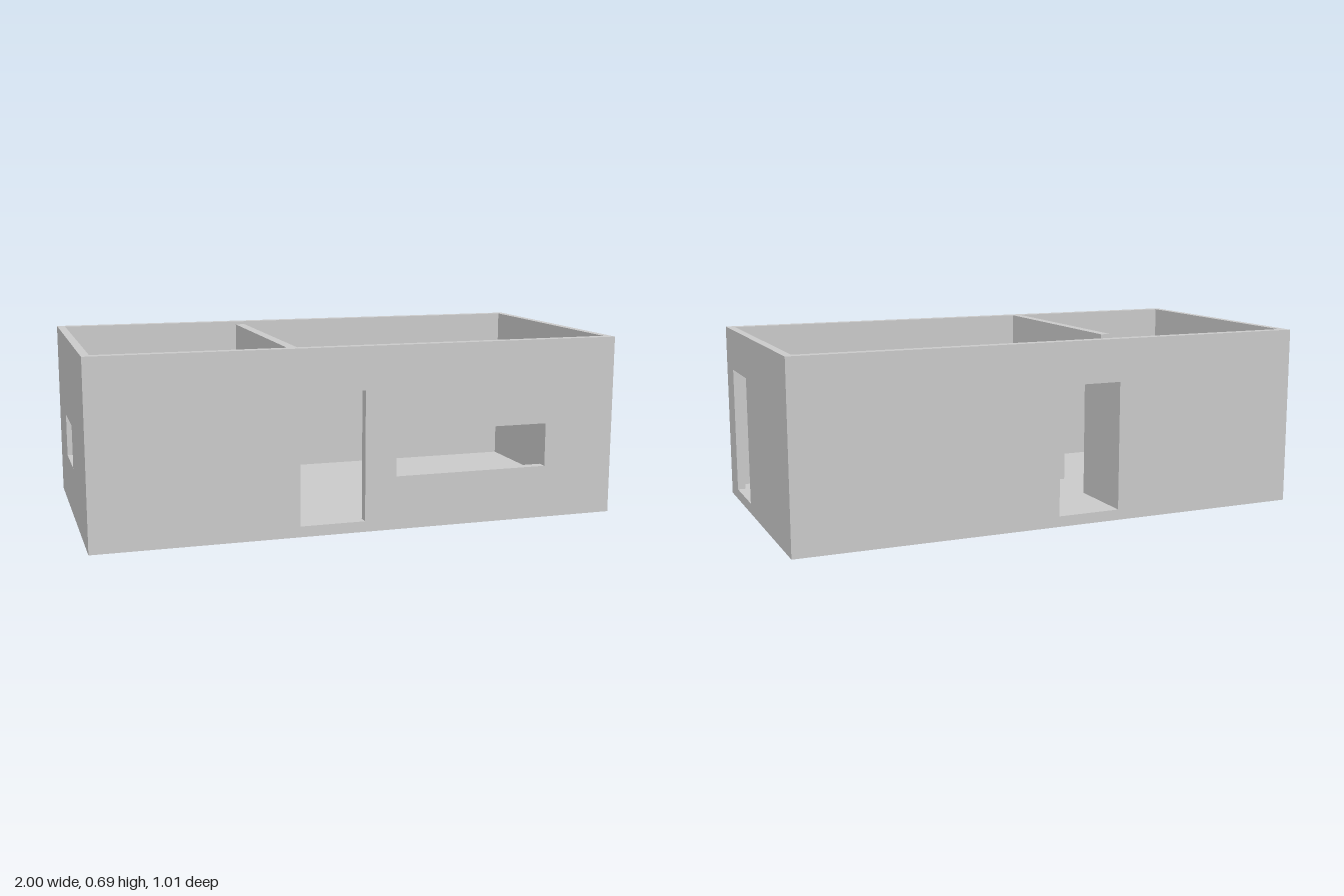
import * as THREE from 'three';

const H = 0.685, X = 1, Z = 0.503;      // outer height, half width, half depth
const TX = 0.03, TZ = 0.038;            // side wall and front/back wall thickness
const FLOOR = 0.04, DOOR_TOP = 0.525;   // floor level and door head
const SILL = 0.2, WINDOW_TOP = 0.365;
const IZ = Z - TZ;                      // inner half depth

const material = new THREE.MeshStandardMaterial({ color: 0xcccccc, flatShading: true });

const door = (a, b) => [a, FLOOR, b, DOOR_TOP];
const window_ = (a, b) => [a, SILL, b, WINDOW_TOP];

// Upright slab from an outline, with rectangular openings [u0, y0, u1, y1]
function slab(outline, openings, thickness) {
  const shape = new THREE.Shape(outline.map(([u, y]) => new THREE.Vector2(u, y)));
  for (const [u0, y0, u1, y1] of openings) {
    const hole = [[u0, y0], [u0, y1], [u1, y1], [u1, y0]];
    shape.holes.push(new THREE.Path(hole.map(([u, y]) => new THREE.Vector2(u, y))));
  }
  return new THREE.ExtrudeGeometry(shape, { depth: thickness, bevelEnabled: false });
}

const rect = (half, y0 = 0) => [[-half, y0], [half, y0], [half, H], [-half, H]];

export function createModel() {
  const group = new THREE.Group();
  const add = (name, geometry) => {
    const mesh = new THREE.Mesh(geometry, material);
    mesh.name = name;
    group.add(mesh);
  };
  // Wall along x, starting at depth z
  const wallX = (name, openings, z) =>
    add(name, slab(rect(X), openings, TZ).translate(0, 0, z));
  // Wall along z, whose +x face lies at x
  const wallZ = (name, outline, openings, thickness, x) =>
    add(name, slab(outline, openings, thickness).rotateY(-Math.PI / 2).translate(x, 0, 0));

  // Floor slab between the walls
  add('floor', new THREE.BoxGeometry(2 * (X - TX), FLOOR, 2 * IZ).translate(0, FLOOR / 2, 0));

  // Outer walls
  wallX('frontWall', [door(-0.245, 0), window_(0.12, 0.72)], IZ);
  wallX('backWall', [door(-0.245, 0)], -Z);
  wallZ('leftWall', rect(IZ), [door(0.14, 0.385)], TX, X);
  wallZ('rightWall', rect(IZ), [window_(-0.222, 0.023)], TX, -X + TX);

  // Partition with two doorways and a lowered end at the back wall
  const outline = [[-IZ, 0], [IZ, 0], [IZ, H], [-0.35, H], [-0.35, DOOR_TOP], [-IZ, DOOR_TOP]];
  wallZ('partition', outline, [door(-0.222, 0.023), door(0.14, 0.385)], 0.037, -0.245);

  return group;
}
